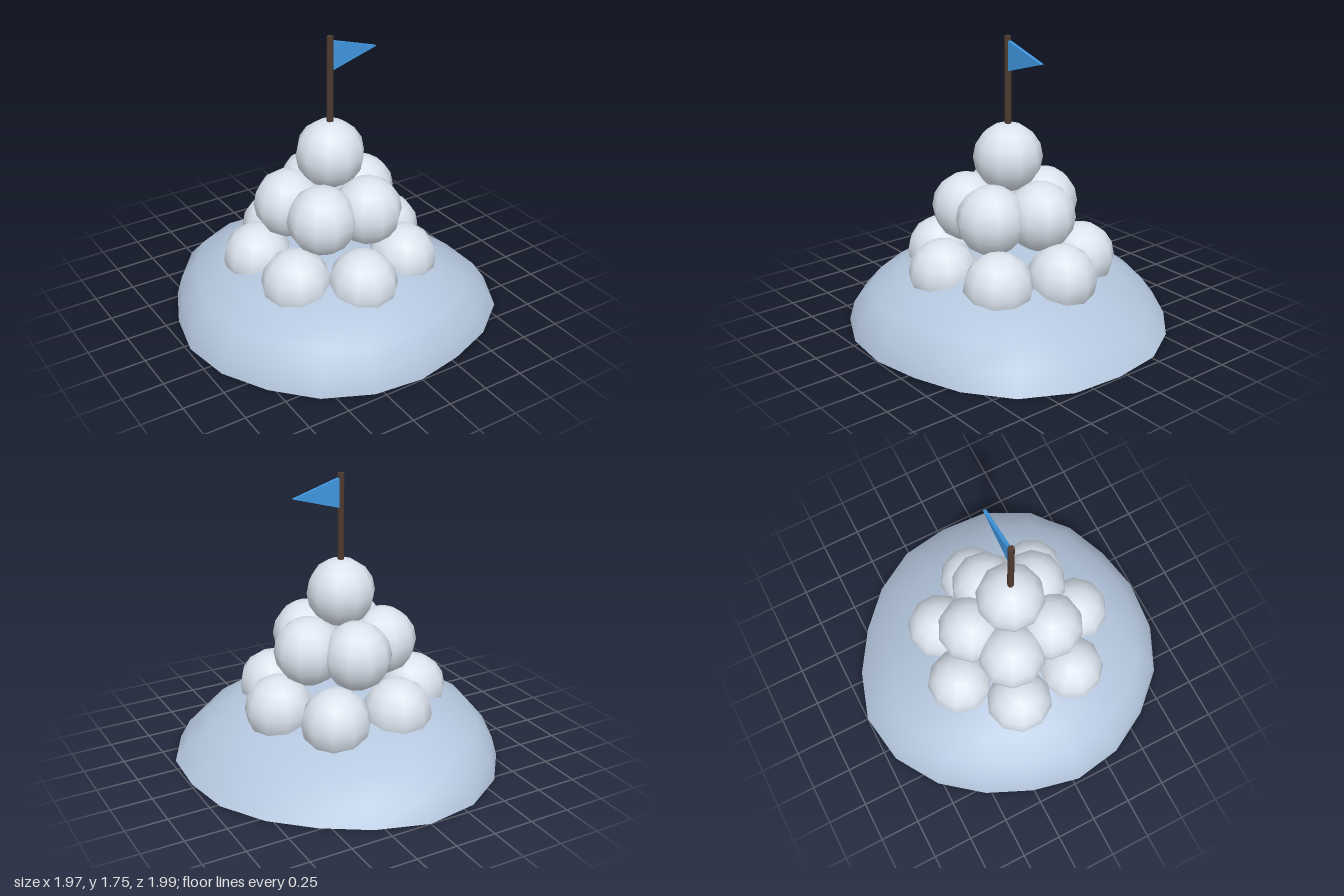
import * as THREE from 'three';

const CX = -0.01, CZ = 0.04; // axis of the pile

function addMesh(parent, name, geometry, color, x = 0, y = 0, z = 0) {
  const mesh = new THREE.Mesh(geometry, new THREE.MeshStandardMaterial({ color }));
  mesh.name = name;
  mesh.position.set(x, y, z);
  parent.add(mesh);
  return mesh;
}

// Uneven snow dome: 20 spokes, one radius each, counter-clockwise from +x
function moundGeometry() {
  const radii = [0.99, 0.99, 0.97, 0.96, 0.99, 1.04, 1.04, 1.01, 0.975, 0.96,
    0.98, 0.98, 0.97, 0.98, 0.97, 0.955, 0.945, 0.98, 1.02, 1.02];
  const n = radii.length, rings = 6, height = 0.46;
  const pos = [], index = [];
  for (let k = 0; k < rings; k++) {
    const e = (k / rings) * Math.PI / 2;
    radii.forEach((r, i) => {
      const a = (i / n) * Math.PI * 2;
      // the back right slope is flatter
      const lean = Math.max(0, 0.86 * Math.cos(a) + 0.5 * Math.sin(a));
      const s = 1 - 0.14 * lean * Math.min(1, k / 2);
      const d = r * s * Math.cos(e);
      pos.push(d * Math.cos(a), height * s * Math.sin(e), -d * Math.sin(a));
    });
  }
  const top = pos.length / 3;
  pos.push(0, height, 0);
  for (let k = 0; k < rings; k++) {
    for (let i = 0; i < n; i++) {
      const j = (i + 1) % n, a = k * n + i, b = k * n + j;
      if (k === rings - 1) index.push(a, b, top);
      else index.push(a, b, b + n, a, b + n, a + n);
    }
  }
  // flat underside with its own vertices
  const base = pos.length / 3;
  pos.push(...pos.slice(0, n * 3), 0, 0, 0);
  for (let i = 0; i < n; i++) index.push(base + n, base + (i + 1) % n, base + i);
  const g = new THREE.BufferGeometry();
  g.setAttribute('position', new THREE.Float32BufferAttribute(pos, 3));
  g.setIndex(index);
  g.computeVertexNormals();
  return g;
}

export function createModel() {
  const model = new THREE.Group();
  model.name = 'snowballPile';

  addMesh(model, 'snowMound', moundGeometry(), 0xb4c6dd, 0, 0, CZ);

  // Layers of snowballs: count, ring radius, height, first angle from +x toward +z
  const balls = new THREE.Group();
  balls.name = 'snowballs';
  model.add(balls);
  const ballGeometry = new THREE.SphereGeometry(0.207, 10, 8);
  const layers = [
    ['lowerBall', 7, 0.445, 0.385, 97],
    ['middleBall', 5, 0.25, 0.715, 61],
    ['topBall', 1, 0, 1.03, 18],
  ];
  for (const [name, count, radius, y, start] of layers) {
    for (let i = 0; i < count; i++) {
      const a = THREE.MathUtils.degToRad(start) + (i / count) * Math.PI * 2;
      const ball = addMesh(balls, name + (i + 1), ballGeometry, 0xdbe3ee,
        CX + radius * Math.cos(a), y, CZ + radius * Math.sin(a));
      ball.rotation.y = -a;
    }
  }

  // Flag on its pole
  addMesh(model, 'flagPole', new THREE.CylinderGeometry(0.02, 0.02, 0.6, 8), 0x4e3a30, CX, 1.45, CZ);
  const pennant = new THREE.Shape([
    new THREE.Vector2(0, 1.545), new THREE.Vector2(0.3, 1.635), new THREE.Vector2(0, 1.725),
  ]);
  const flag = new THREE.ExtrudeGeometry(pennant, { depth: 0.02, bevelEnabled: false });
  addMesh(model, 'flag', flag, 0x3f97e0, 0, 0, CZ - 0.01);

  return model;
}
